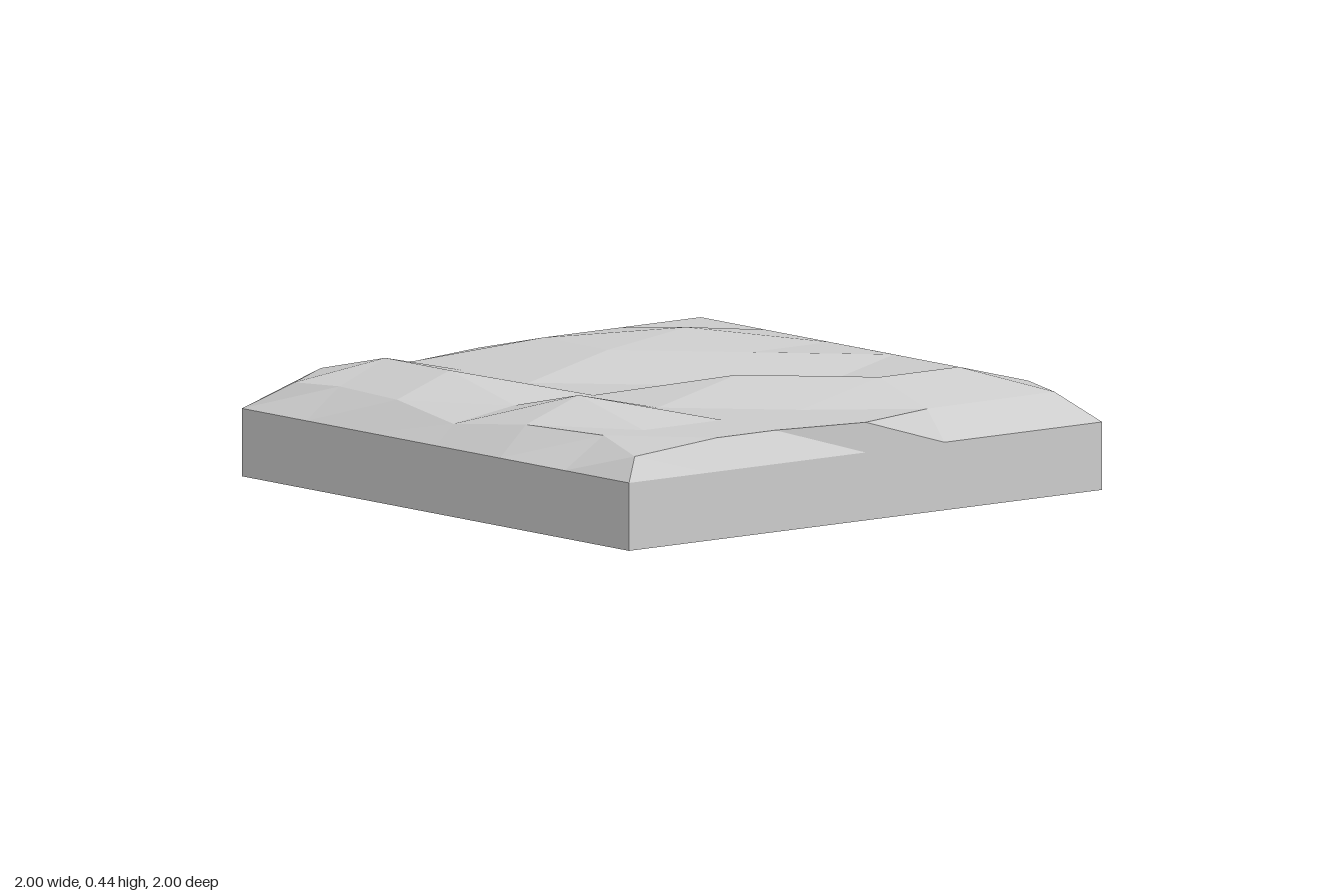
import * as THREE from 'three';

const BASE = 0.225;

// Surface heights, rows from back to front, columns from -x to +x.
const heights = [
  [0.275, 0.325, 0.325, 0.325, 0.38, 0.325, 0.325],
  [0.325, 0.4, 0.4, 0.4, 0.4, 0.4, 0.325],
  [0.325, 0.4, 0.442, 0.4, 0.325, 0.4, 0.325],
  [0.325, 0.4, 0.4, 0.325, 0.4, 0.325, 0.325],
  [0.325, 0.325, 0.325, 0.325, 0.325, 0.325, 0.325],
  [0.325, 0.4, 0.4, 0.325, 0.4, 0.325, 0.325],
  [0.32, 0.325, 0.325, 0.29, 0.325, 0.325, 0.3],
];

// Uneven rim of the surface, listed along each side.
const rim = {
  back: [-1, -0.935, -0.96, -0.965, -0.73, -0.96, -0.88],
  front: [0.9, 0.86, 0.89, 0.925, 0.89, 0.835, 0.935],
  minusX: [-1, -1, -0.91, -1, -0.92, -1, -0.85],
  plusX: [0.9, 0.905, 0.91, 1, 0.94, 0.94, 0.95],
};

const clampUnit = (v) => THREE.MathUtils.clamp(v, -1, 1);

// Grid point: the outermost ring lies on the slab edge, the next one is the rim.
function groundPoint(col, row) {
  let x = clampUnit((col - 4) / 3);
  let z = clampUnit((row - 4) / 3);
  if (col === 0 || col === 8 || row === 0 || row === 8) return [x, BASE, z];
  const i = col - 1, j = row - 1;
  const y = heights[j][i];
  if (i === 0) x = rim.minusX[j];
  if (i === 6) x = rim.plusX[j];
  if (j === 0) z = rim.back[i];
  if (j === 6) z = rim.front[i];
  if (i === 6 && j === 5) z = 0.58;
  return [x, y, z];
}

function buildGround() {
  const grid = new THREE.PlaneGeometry(2, 2, 8, 8);
  const pos = grid.attributes.position;
  for (let k = 0; k < pos.count; k++) {
    pos.setXYZ(k, ...groundPoint(k % 9, Math.floor(k / 9)));
  }
  const geometry = grid.toNonIndexed();
  geometry.computeVertexNormals();
  return geometry;
}

export function createModel() {
  const group = new THREE.Group();
  group.name = 'groundTile';
  const material = new THREE.MeshStandardMaterial({
    color: 0xcccccc, flatShading: true, side: THREE.DoubleSide,
  });

  // Flat slab under the ground
  const slab = new THREE.Mesh(new THREE.BoxGeometry(2, BASE, 2), material);
  slab.name = 'slab';
  slab.position.y = BASE / 2;
  group.add(slab);

  // Faceted uneven ground with sloping banks
  const ground = new THREE.Mesh(buildGround(), material);
  ground.name = 'unevenGround';
  group.add(ground);

  return group;
}
